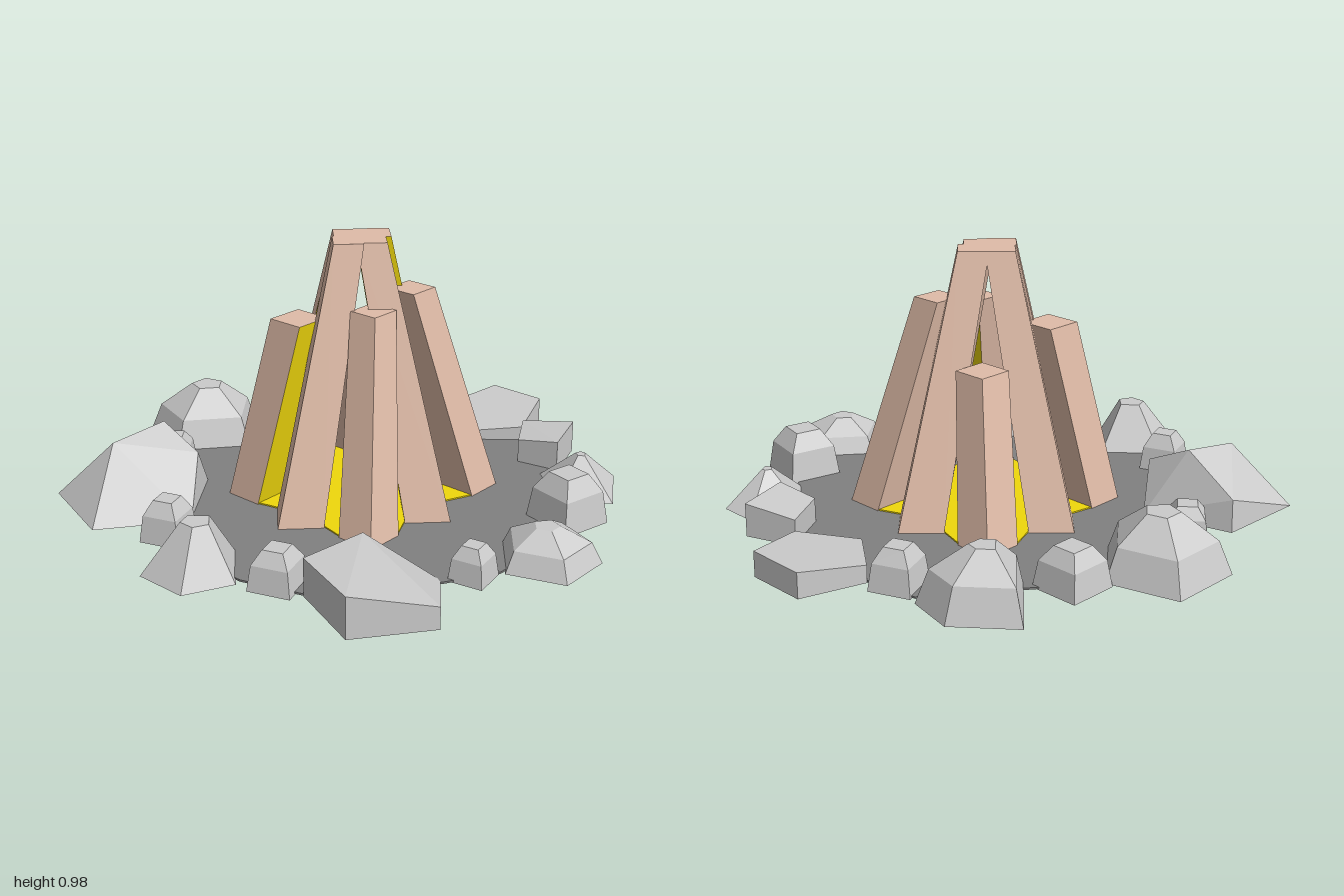
import * as THREE from 'three';
import { ConvexGeometry } from 'three/addons/geometries/ConvexGeometry.js';

const material = (color, side = THREE.FrontSide) =>
  new THREE.MeshStandardMaterial({ color, flatShading: true, side });
const stoneMat = material(0xcccccc, THREE.DoubleSide);
const groundMat = material(0x808080);
const woodMat = material(0xe0bca8);
const emberMat = material(0xf0d80c);

function addMesh(parent, name, geometry, mat) {
  const mesh = new THREE.Mesh(geometry, mat);
  mesh.name = name;
  parent.add(mesh);
}

function surface(positions) {
  const g = new THREE.BufferGeometry();
  g.setAttribute('position', new THREE.Float32BufferAttribute(positions, 3));
  g.computeVertexNormals();
  return g;
}

// Flat-sided surface from four-cornered faces
const quads = (faces) => surface(faces.flatMap(([a, b, c, d]) => [a, b, c, a, c, d].flat()));

// Square section at height y; corner 0 points outward along angle a
const section = (x, z, r, y, a) => [0, 1, 2, 3].map((k) => {
  const t = a + k * Math.PI / 2;
  return [x + r * Math.cos(t), y, z + r * Math.sin(t)];
});

// Leaning tapered log; the inner side numbered glow (1 or 2) is lit, 0 for none
function log(bottom, top, glow) {
  const group = new THREE.Group();
  group.name = 'log';
  const sides = [0, 1, 2, 3].map((i) => {
    const j = (i + 1) % 4;
    return [bottom[i], top[i], top[j], bottom[j]];
  });
  const bark = sides.filter((side, i) => !glow || i !== glow);
  addMesh(group, 'logBark', quads([...bark, [top[0], top[3], top[2], top[1]]]), woodMat);
  if (glow) addMesh(group, 'logGlow', quads([sides[glow]]), emberMat);
  return group;
}

// Convex stone shell, open underneath
function hull(points) {
  const p = new ConvexGeometry(points.map((q) => new THREE.Vector3(...q))).attributes.position.array;
  const kept = [];
  for (let i = 0; i < p.length; i += 9)
    if (Math.max(p[i + 1], p[i + 4], p[i + 7]) > 0.001) kept.push(...p.slice(i, i + 9));
  return surface(kept);
}

// Faceted stone: base outline [x, z], then rings [scale, height] drawn in towards a centre
function stone(base, cx, cz, rings) {
  const pts = [];
  for (const [s, y] of [[1, 0], ...rings])
    for (const [x, z] of base) pts.push([cx + (x - cx) * s, y, cz + (z - cz) * s]);
  return hull(pts);
}

const dome = (h, tip) => [[0.8, h * 0.58], [tip, h]];

// Flat slab of given base outline, each corner [x, z, height]
const slab = (corners) => hull(corners.flatMap(([x, z, y]) => [[x, 0, z], [x, y, z]]));

// Flat plate from an [x, z] outline, standing on height y
function plate(outline, thickness, y) {
  const shape = new THREE.Shape(outline.map(([x, z]) => new THREE.Vector2(x, -z)));
  const g = new THREE.ExtrudeGeometry(shape, { depth: thickness, bevelEnabled: false });
  return g.rotateX(-Math.PI / 2).translate(0, y, 0);
}

export function createModel() {
  const model = new THREE.Group();
  model.name = 'campfire';

  // Ash bed, with a corner in every gap between stones
  addMesh(model, 'ashBed', plate([
    [0.75, -0.19], [0.75, 0.2], [0.6, 0.47], [0.4, 0.63], [0.17, 0.8], [-0.19, 0.79],
    [-0.37, 0.69], [-0.73, 0.4], [-0.8, 0.18], [-0.8, -0.16], [-0.7, -0.36],
    [-0.36, -0.64], [-0.22, -0.75], [0.2, -0.76], [0.41, -0.6], [0.72, -0.38],
  ], 0.007, 0.003), groundMat);

  // Logs in angular order: bottom x, z, r; top x, z, r, height; glowing side
  const logs = [
    [0.32, 0.02, 0.115, 0.055, 0.02, 0.078, 0.98, 1],
    [0.28, 0.295, 0.104, 0.11, 0.145, 0.085, 0.79, 0],
    [-0.012, 0.325, 0.115, -0.015, 0.065, 0.075, 0.98, 1],
    [-0.29, 0.295, 0.104, -0.095, 0.145, 0.08, 0.755, 2],
    [-0.345, 0.02, 0.115, -0.08, 0.015, 0.075, 0.98, 0],
    [-0.29, -0.248, 0.104, -0.185, -0.125, 0.1, 0.69, 2],
    [-0.01, -0.305, 0.115, -0.012, -0.045, 0.075, 0.98, 2],
    [0.278, -0.272, 0.104, 0.167, -0.135, 0.092, 0.59, 1],
  ];
  const outline = [];
  logs.forEach(([bx, bz, br, tx, tz, tr, h, glow], i) => {
    const a = i * Math.PI / 4;
    const bottom = section(bx, bz, br, 0.005, a);
    model.add(log(bottom, section(tx, tz, tr, h, a), glow));
    for (const k of [3, 0, 1]) outline.push([bottom[k][0] * 0.98, bottom[k][2] * 0.98]);
  });

  // Glowing ember bed under the logs
  addMesh(model, 'emberBed', plate(outline, 0.015, 0), emberMat);

  // Large stones: outline, centre, rings
  const large = [
    [[[-0.15, -1], [0.13, -1], [0.2, -0.74], [-0.01, -0.57], [-0.23, -0.75]], -0.01, -0.8, [[0.8, 0.12], [0.27, 0.215]]],
    [[[0.62, -0.77], [0.78, -0.58], [0.74, -0.4], [0.53, -0.4], [0.4, -0.56]], 0.585, -0.57, dome(0.215, 0.25)],
    [[[0.53, 0.43], [0.72, 0.5], [0.72, 0.65], [0.51, 0.78], [0.39, 0.61]], 0.56, 0.6, [[0.12, 0.13]]],
    [[[0.1, 1], [-0.11, 1], [-0.18, 0.8], [-0.01, 0.66], [0.17, 0.8]], -0.01, 0.84, dome(0.13, 0.25)],
    [[[-0.99, -0.1], [-0.99, 0.1], [-0.82, 0.18], [-0.66, 0.02], [-0.82, -0.16]], -0.83, 0.02, [[0.3, 0.185]]],
  ];
  for (const args of large) addMesh(model, 'largeStone', stone(...args), stoneMat);

  // Low slabs on the left-hand side
  addMesh(model, 'slabStone', slab([
    [0.6, 0.02, 0.045], [0.75, -0.18, 0.065], [0.985, -0.11, 0.095], [0.985, 0.12, 0.095], [0.75, 0.2, 0.065],
  ]), stoneMat);
  addMesh(model, 'slabStone', slab([
    [0.57, 0.31, 0.1], [0.74, 0.21, 0.1], [0.81, 0.4, 0.125], [0.6, 0.47, 0.125],
  ]), stoneMat);

  // Broad slanting stones on the right-hand corners
  addMesh(model, 'slantedStone', slab([
    [-0.73, 0.4, 0.14], [-0.44, 0.4, 0.12], [-0.36, 0.67, 0.005], [-0.6, 0.86, 0.08], [-0.84, 0.68, 0.15],
  ]), stoneMat);
  addMesh(model, 'slantedStone', hull([
    [-0.77, 0, -0.81], [-0.42, 0, -0.8], [-0.33, 0, -0.47], [-0.6, 0, -0.27], [-0.88, 0, -0.48],
    [-0.43, 0.12, -0.79], [-0.44, 0.25, -0.58], [-0.66, 0.225, -0.61], [-0.43, 0.17, -0.41],
  ]), stoneMat);

  // Small four-sided stones: x, z, radius, turn, height
  const small = [
    [-0.3, -0.69, 0.105, 0.1, 0.12], [0.295, -0.68, 0.133, 0.785, 0.15],
    [0.69, -0.27, 0.11, 0.4, 0.15], [0.29, 0.725, 0.145, 1.0, 0.185],
    [-0.27, 0.735, 0.09, 0.6, 0.125], [-0.73, 0.285, 0.11, 0.45, 0.14],
    [-0.735, -0.24, 0.105, 0.45, 0.15],
  ];
  for (const [x, z, r, turn, h] of small) {
    const base = section(x, z, r, 0, turn).map((p) => [p[0], p[2]]);
    addMesh(model, 'smallStone', stone(base, x, z, [[0.85, h * 0.65], [0.48, h]]), stoneMat);
  }
  return model;
}
